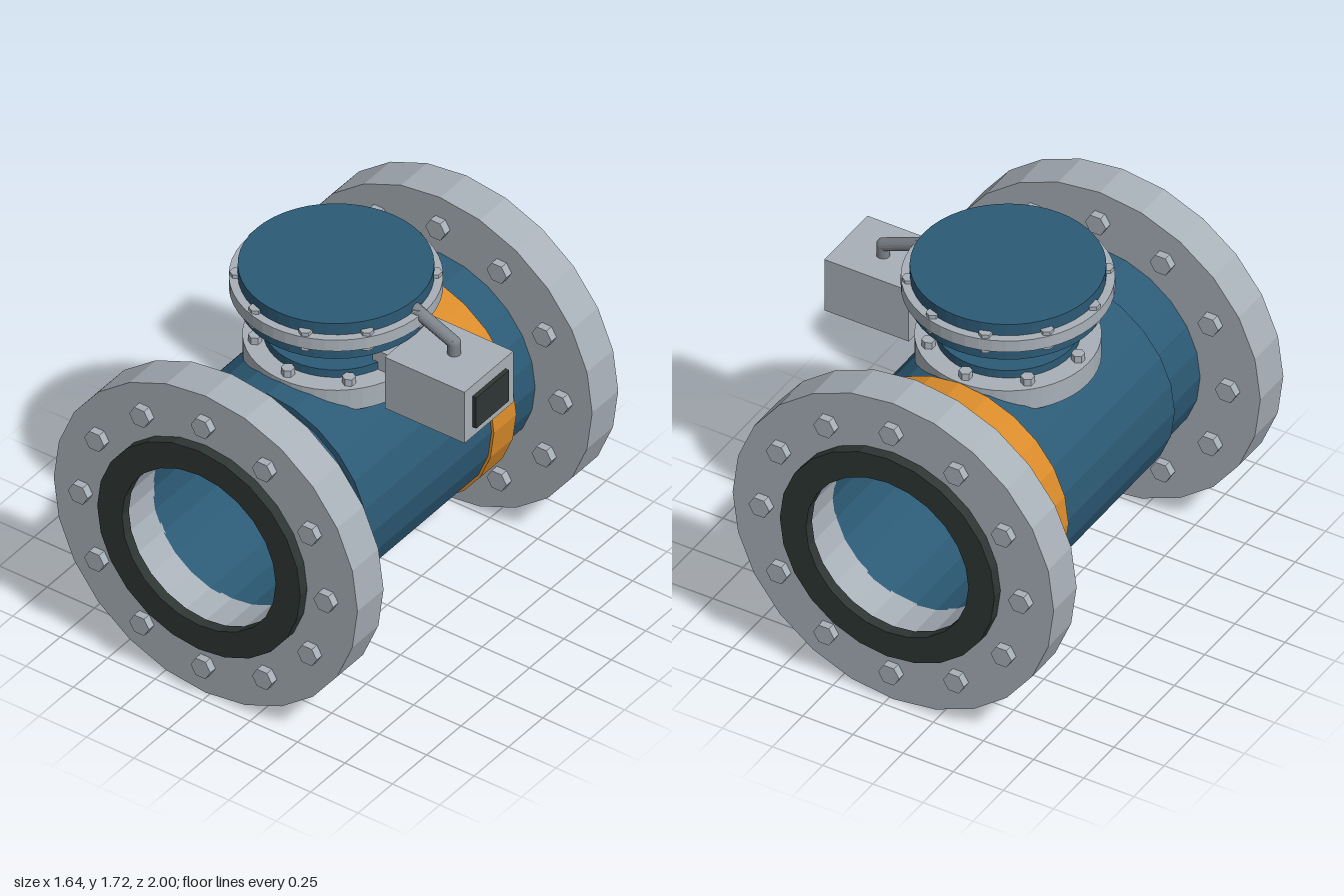
import * as THREE from 'three';

const mat = (name, color) => {
  const m = new THREE.MeshStandardMaterial({ color, flatShading: true });
  m.name = name;
  return m;
};

export function createModel() {
  const blue = mat('blue paint', 0x2c5a75);
  const grey = mat('light grey metal', 0xa8b0b8);
  const dark = mat('dark rubber', 0x2e3634);
  const orange = mat('orange band', 0xd98b2b);
  const steel = mat('conduit grey', 0x7b8289);

  const model = new THREE.Group();
  model.name = 'flowMeter';
  const meter = new THREE.Group(); // everything is centred on the pipe axis
  meter.name = 'meter';
  meter.position.x = -0.02;
  model.add(meter);

  const add = (name, geometry, material, x = 0, y = 0, z = 0) => {
    const mesh = new THREE.Mesh(geometry, material);
    mesh.name = name;
    mesh.position.set(x, y, z);
    meter.add(mesh);
    return mesh;
  };

  // Hollow ring along z, between z0 and z1
  const PIPE_Y = 0.8;
  const ring = (name, inner, outer, z0, z1, material) => {
    const profile = [[inner, z0], [outer, z0], [outer, z1], [inner, z1], [inner, z0]]
      .map(([r, z]) => new THREE.Vector2(r, z));
    const g = new THREE.LatheGeometry(profile, 24).rotateX(Math.PI / 2);
    return add(name, g, material, 0, PIPE_Y, 0);
  };

  // Upright disc or cylinder between y0 and y1
  const disc = (name, r, y0, y1, material, sides = 48) =>
    add(name, new THREE.CylinderGeometry(r, r, y1 - y0, sides), material, 0, (y0 + y1) / 2, 0);

  // Pipe and body
  ring('pipe', 0.41, 0.5, -0.77, 0.77, blue);
  ring('body', 0.45, 0.53, -0.5, 0.5, blue);
  ring('band', 0.45, 0.543, -0.563, -0.4, orange);

  // End flanges with gaskets and hex bolts
  const boltGeo = new THREE.CylinderGeometry(0.052, 0.052, 0.265, 6)
    .rotateY(Math.PI / 2).rotateX(Math.PI / 2).rotateZ(0);
  boltGeo.computeBoundingBox();
  if (boltGeo.boundingBox.max.x < 0.05) boltGeo.rotateZ(Math.PI / 2); // points face sideways
  for (const s of [-1, 1]) {
    const end = s > 0 ? 'front' : 'back';
    const span = (a, b) => (s > 0 ? [a, b] : [-b, -a]);
    ring(end + 'Flange', 0.41, 0.8, ...span(0.76, 0.95), grey);
    ring(end + 'Gasket', 0.405, 0.535, ...span(0.95, 1), dark);
    for (let i = 0; i < 12; i++) {
      const a = (i * Math.PI) / 6;
      add(end + 'FlangeBolt', boltGeo, grey,
        0.647 * Math.cos(a), PIPE_Y + 0.647 * Math.sin(a), s * 0.855);
    }
  }

  // Neck rising out of the body, with its flange
  disc('neck', 0.31, 1.08, 1.385, blue);
  disc('neckFlange', 0.4, 1.235, 1.345, grey);
  disc('stem', 0.15, 1.38, 1.54, blue);

  // Round head
  disc('head', 0.42, 1.53, 1.72, blue);
  disc('headFlange', 0.458, 1.6, 1.66, grey);

  // Small bolts around an upright flange
  const boltCircle = (name, count, radius, y0, y1) => {
    const g = new THREE.CylinderGeometry(0.03, 0.03, y1 - y0, 6);
    for (let i = 0; i < count; i++) {
      const a = (i * 2 * Math.PI) / count;
      add(name, g, grey, radius * Math.cos(a), (y0 + y1) / 2, radius * Math.sin(a));
    }
  };
  boltCircle('neckBolt', 8, 0.35, 1.3, 1.38);
  boltCircle('headBolt', 10, 0.425, 1.582, 1.678);

  // Converter box with bracket and display
  add('converterBox', new THREE.BoxGeometry(0.42, 0.275, 0.355), grey, 0.61, 1.3825, 0.02);
  add('bracket', new THREE.BoxGeometry(0.17, 0.1, 0.16), grey, 0.35, 1.395, 0.02);
  add('display', new THREE.BoxGeometry(0.02, 0.165, 0.24), dark, 0.83, 1.38, 0.02);

  // Bent conduit from the head to the box
  const points = [[0.4, 1.67], [0.622, 1.577], [0.622, 1.5]]
    .map(([x, y]) => new THREE.Vector3(x, y, 0));
  for (let i = 0; i < 2; i++) {
    const [a, b] = [points[i], points[i + 1]];
    const dir = b.clone().sub(a);
    const rod = add('conduit', new THREE.CylinderGeometry(0.03, 0.03, dir.length(), 16), steel,
      (a.x + b.x) / 2, (a.y + b.y) / 2, 0);
    rod.quaternion.setFromUnitVectors(new THREE.Vector3(0, 1, 0), dir.normalize());
  }
  add('conduitElbow', new THREE.SphereGeometry(0.03, 16, 10), steel, points[1].x, points[1].y, 0);

  return model;
}
